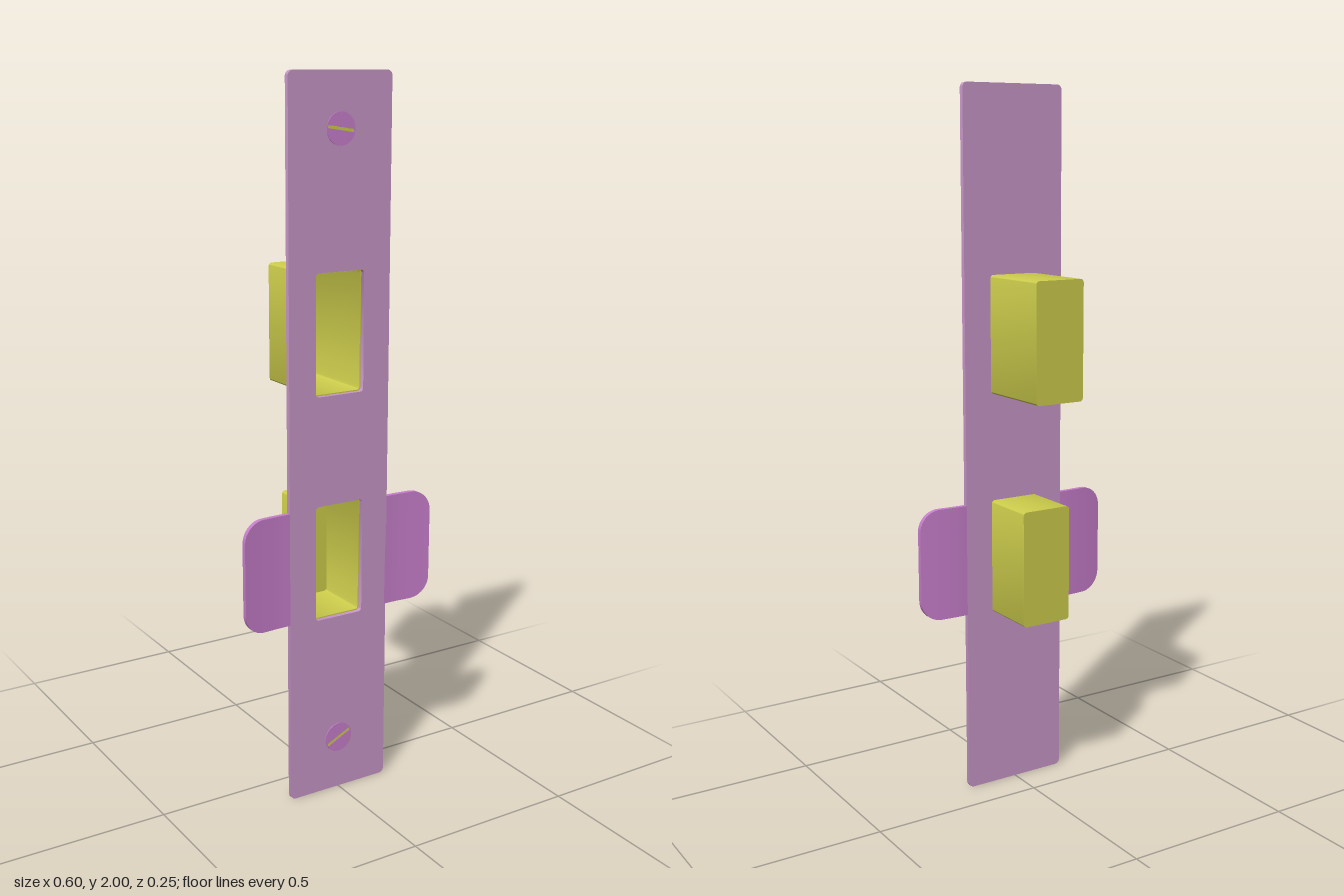
import * as THREE from 'three';
import { toCreasedNormals } from 'three/addons/utils/BufferGeometryUtils.js';

const BACK = 0.103, FRONT = 0.117, THICK = FRONT - BACK;
const plateMat = new THREE.MeshStandardMaterial({ color: 0xc896c8 });
const tabMat = new THREE.MeshStandardMaterial({ color: 0xc77ecb });
const pocketMat = new THREE.MeshStandardMaterial({ color: 0xcccc4c });

// Trace a rounded rectangle into a Shape or Path
function roundedRect(path, w, h, r, cy = 0) {
  const x = w / 2, y0 = cy - h / 2, y1 = cy + h / 2;
  path.absarc(x - r, y0 + r, r, -Math.PI / 2, 0);
  path.absarc(x - r, y1 - r, r, 0, Math.PI / 2);
  path.absarc(-x + r, y1 - r, r, Math.PI / 2, Math.PI);
  path.absarc(-x + r, y0 + r, r, Math.PI, Math.PI * 1.5);
  path.closePath();
  return path;
}

function extrude(shape, depth, curveSegments) {
  const geo = new THREE.ExtrudeGeometry(shape, { depth, curveSegments, bevelEnabled: false });
  return toCreasedNormals(geo, 0.6);
}

function add(parent, name, geo, mat, x = 0, y = 0, z = 0) {
  const mesh = new THREE.Mesh(geo, mat);
  mesh.name = name;
  mesh.position.set(x, y, z);
  parent.add(mesh);
  return mesh;
}

// Side tab: a box rounded off at its outer corners and curled forward
function tabGeometry() {
  const geo = new THREE.BoxGeometry(1, 2, THICK, 20, 1, 1);
  const p = geo.attributes.position;
  for (let i = 0; i < p.count; i++) {
    const x = 0.153 + 0.147 * Math.sin((p.getX(i) + 0.5) * Math.PI / 2);
    const corner = Math.min(1, Math.max(0, (x - 0.24) / 0.06));
    const half = 0.1 + 0.06 * Math.sqrt(1 - corner * corner);
    const curl = 0.009 * Math.pow(Math.max(0, (x - 0.18) / 0.12), 1.5);
    p.setXYZ(i, x, p.getY(i) * half, p.getZ(i) + curl);
  }
  return toCreasedNormals(geo, 0.6);
}

// Open-fronted pocket behind the plate
function makePocket(name, y, h, depth) {
  const pocket = new THREE.Group();
  pocket.name = name;
  pocket.position.y = y;
  const walls = roundedRect(new THREE.Shape(), 0.15, h, 0.01);
  walls.holes.push(roundedRect(new THREE.Path(), 0.144, h - 0.006, 0.008));
  add(pocket, 'pocketWalls', extrude(walls, depth, 4), pocketMat, 0, 0, BACK - depth);
  const end = roundedRect(new THREE.Shape(), 0.15, h, 0.01);
  add(pocket, 'pocketEnd', extrude(end, 0.004, 4), pocketMat, 0, 0, BACK - depth - 0.002);
  return pocket;
}

// Flush screw head with a slot
function makeScrew(name, y, angle) {
  const screw = new THREE.Group();
  screw.name = name;
  screw.position.set(0, y, FRONT);
  screw.rotation.z = angle;
  const head = new THREE.Shape().absarc(0, 0, 0.043, 0, Math.PI * 2);
  head.holes.push(roundedRect(new THREE.Path(), 0.08, 0.008, 0.002));
  add(screw, 'screwHead', extrude(head, 0.002, 24), tabMat);
  add(screw, 'screwSlot', new THREE.BoxGeometry(0.08, 0.008, 0.002), pocketMat);
  return screw;
}

export function createModel() {
  const model = new THREE.Group();
  model.name = 'strikePlate';
  const pockets = [
    { name: 'upperPocket', y: 1.325, h: 0.33, depth: 0.23 },
    { name: 'lowerPocket', y: 0.69, h: 0.33, depth: 0.167 },
  ];

  // Faceplate pierced by the two pocket openings
  const face = roundedRect(new THREE.Shape(), 0.314, 2, 0.015, 1);
  for (const { y, h } of pockets) {
    face.holes.push(roundedRect(new THREE.Path(), 0.15, h, 0.01, y));
  }
  add(model, 'faceplate', extrude(face, THICK, 6), plateMat, 0, 0, BACK);

  for (const { name, y, h, depth } of pockets) model.add(makePocket(name, y, h, depth));

  // Curled tabs on both sides
  const tab = tabGeometry();
  const mid = (BACK + FRONT) / 2;
  add(model, 'leftTab', tab, tabMat, 0, 0.69, mid);
  add(model, 'rightTab', tab, tabMat, 0, 0.69, mid).rotation.z = Math.PI;

  model.add(makeScrew('upperScrew', 1.855, -0.15));
  model.add(makeScrew('lowerScrew', 0.155, 0.45));
  return model;
}
